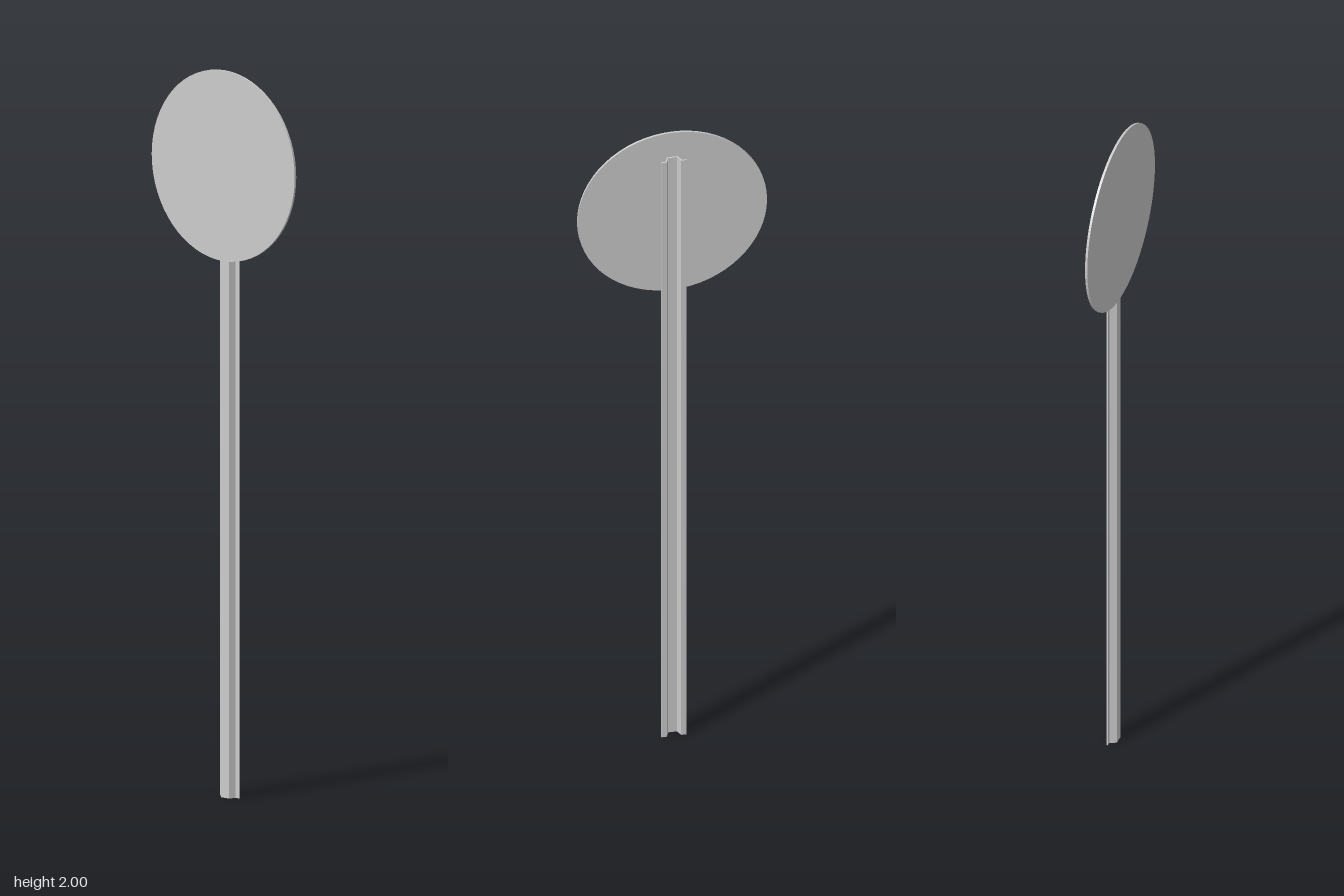
import * as THREE from 'three';

export function createModel() {
  const group = new THREE.Group();
  const material = new THREE.MeshStandardMaterial({ color: 0xcccccc });

  // Hat-section post: half outline as [x, z], mirrored to the other side
  const outer = [[0.015, 0.007], [0.0225, -0.0115], [0.035, -0.0115]];
  const inner = [[0.035, -0.0155], [0.0197, -0.0155], [0.0122, 0.003]];
  const half = [...outer, ...inner];
  const mirrored = half.map(([x, z]) => [-x, z]).reverse();
  const outline = [...half, ...mirrored].map(([x, z]) => new THREE.Vector2(x, -z));
  const postGeometry = new THREE.ExtrudeGeometry(new THREE.Shape(outline), {
    depth: 1.92,
    bevelEnabled: false,
  });
  postGeometry.rotateX(-Math.PI / 2);
  const post = new THREE.Mesh(postGeometry, material);
  post.name = 'post';
  group.add(post);

  // Thin round plate fixed to the front of the post
  const radius = 0.262;
  const discGeometry = new THREE.CylinderGeometry(radius, radius, 0.0065, 64);
  discGeometry.rotateX(Math.PI / 2);
  const disc = new THREE.Mesh(discGeometry, material);
  disc.name = 'signDisc';
  disc.position.set(0, 2 - radius, 0.0105);
  group.add(disc);

  return group;
}
